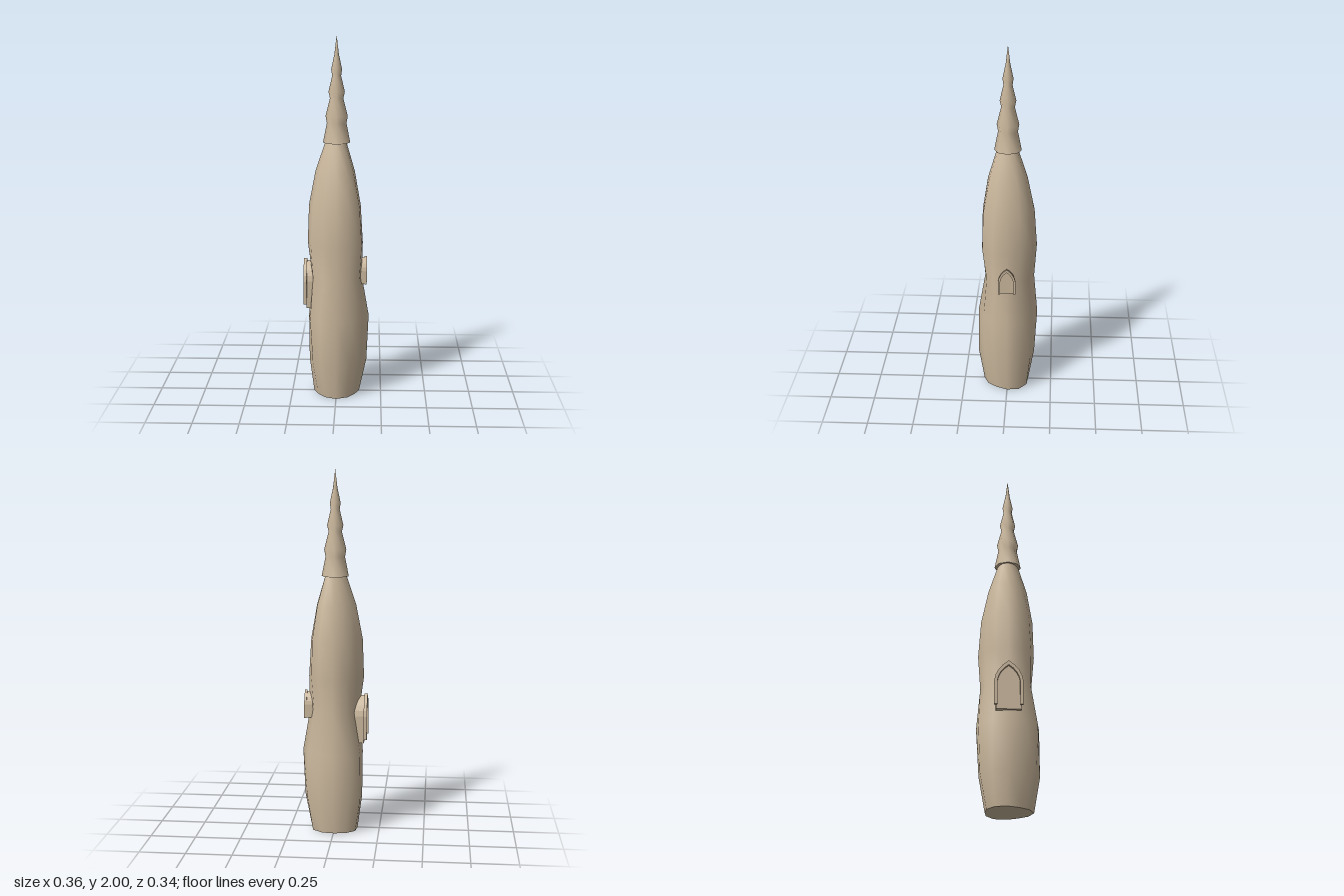
import * as THREE from 'three';
import { mergeVertices } from 'three/addons/utils/BufferGeometryUtils.js';

// Smooth lathe whose seam is welded; warp(v) may reshape each vertex first
function turned(profile, sides, warp) {
  let g = new THREE.LatheGeometry(profile.map(([r, y]) => new THREE.Vector2(r, y)), sides);
  const p = g.attributes.position, v = new THREE.Vector3();
  for (let i = 0; warp && i < p.count; i++) {
    warp(v.fromBufferAttribute(p, i));
    p.setXYZ(i, v.x, v.y, v.z);
  }
  g.deleteAttribute('uv');
  g.deleteAttribute('normal');
  g = mergeVertices(g, 1e-5);
  g.computeVertexNormals();
  return g;
}

// Three soft lobes that twist around the trunk with height
const twist = [[0, 90], [0.19, 48], [0.45, 0], [0.68, -75], [0.87, -130], [1.1, -160], [1.44, -200]];
function lobes(v) {
  let i = 1;
  while (i < twist.length - 1 && v.y > twist[i][0]) i++;
  const [y0, a0] = twist[i - 1], [y1, a1] = twist[i];
  const phase = THREE.MathUtils.degToRad(a0 + (a1 - a0) * (v.y - y0) / (y1 - y0));
  const k = 1 + 0.075 * Math.cos(3 * Math.atan2(v.z, v.x) + phase);
  v.x *= k;
  v.z *= k;
}

// Pointed arch outline running from the bottom right over the tip to the bottom left
function archPoints(w, bottom, spring, top) {
  const side = new THREE.QuadraticBezierCurve(
    new THREE.Vector2(w, spring),
    new THREE.Vector2(w * 0.9, spring + (top - spring) * 0.6),
    new THREE.Vector2(0, top)).getPoints(4);
  const mirrored = side.slice(0, -1).reverse().map(p => new THREE.Vector2(-p.x, p.y));
  return [new THREE.Vector2(w, bottom), ...side, ...mirrored, new THREE.Vector2(-w, bottom)];
}

function extrude(points, from, to) {
  const g = new THREE.ExtrudeGeometry(new THREE.Shape(points), { depth: to - from, bevelEnabled: false });
  return g.translate(0, 0, from);
}

export function createModel() {
  const group = new THREE.Group();
  const stone = new THREE.MeshStandardMaterial({ color: 0xcbb89d, side: THREE.DoubleSide });
  stone.name = 'warm stone';
  const add = (name, geometry, parent = group) => {
    const m = new THREE.Mesh(geometry, stone);
    m.name = name;
    parent.add(m);
  };

  // Tower trunk and its underside
  add('towerBody', turned([
    [0.127, 0], [0.16, 0.19], [0.167, 0.45], [0.137, 0.68], [0.152, 0.87],
    [0.142, 1.08], [0.107, 1.27], [0.06, 1.42], [0.052, 1.44]], 12, lobes));
  add('towerBase', turned([[0, 0], [0.127, 0]], 12, lobes));

  // Stepped spire roof with a flared eave
  add('spireRoof', turned([
    [0.074, 1.425], [0.053, 1.53], [0.06, 1.57], [0.036, 1.665], [0.044, 1.7],
    [0.024, 1.785], [0.029, 1.82], [0.012, 1.9], [0, 2]], 8));
  add('roofUnderside', turned([[0, 1.425], [0.074, 1.425]], 8));

  // Pointed window: a solid bay with a raised arch band around its face
  function windowBay(name, side, { w, bottom, sill, spring, top, back, face, front, band }) {
    const bay = new THREE.Group();
    bay.name = name;
    bay.rotation.y = side * Math.PI / 2;
    add('windowBay', extrude(archPoints(w - band * 0.6, sill, spring, top - band * 0.6), back, face), bay);
    const outer = archPoints(w, bottom, spring, top);
    const inner = archPoints(w - band, bottom, spring, top - band * 1.4).reverse();
    add('windowArch', extrude([...outer, ...inner], face - 0.001, front), bay);
    group.add(bay);
  }
  windowBay('smallWindow', 1, { w: 0.048, bottom: 0.64, sill: 0.64, spring: 0.715, top: 0.79,
    back: 0.09, face: 0.156, front: 0.168, band: 0.012 });
  windowBay('largeWindow', -1, { w: 0.077, bottom: 0.53, sill: 0.508, spring: 0.66, top: 0.775,
    back: 0.09, face: 0.164, front: 0.181, band: 0.017 });

  return group;
}
